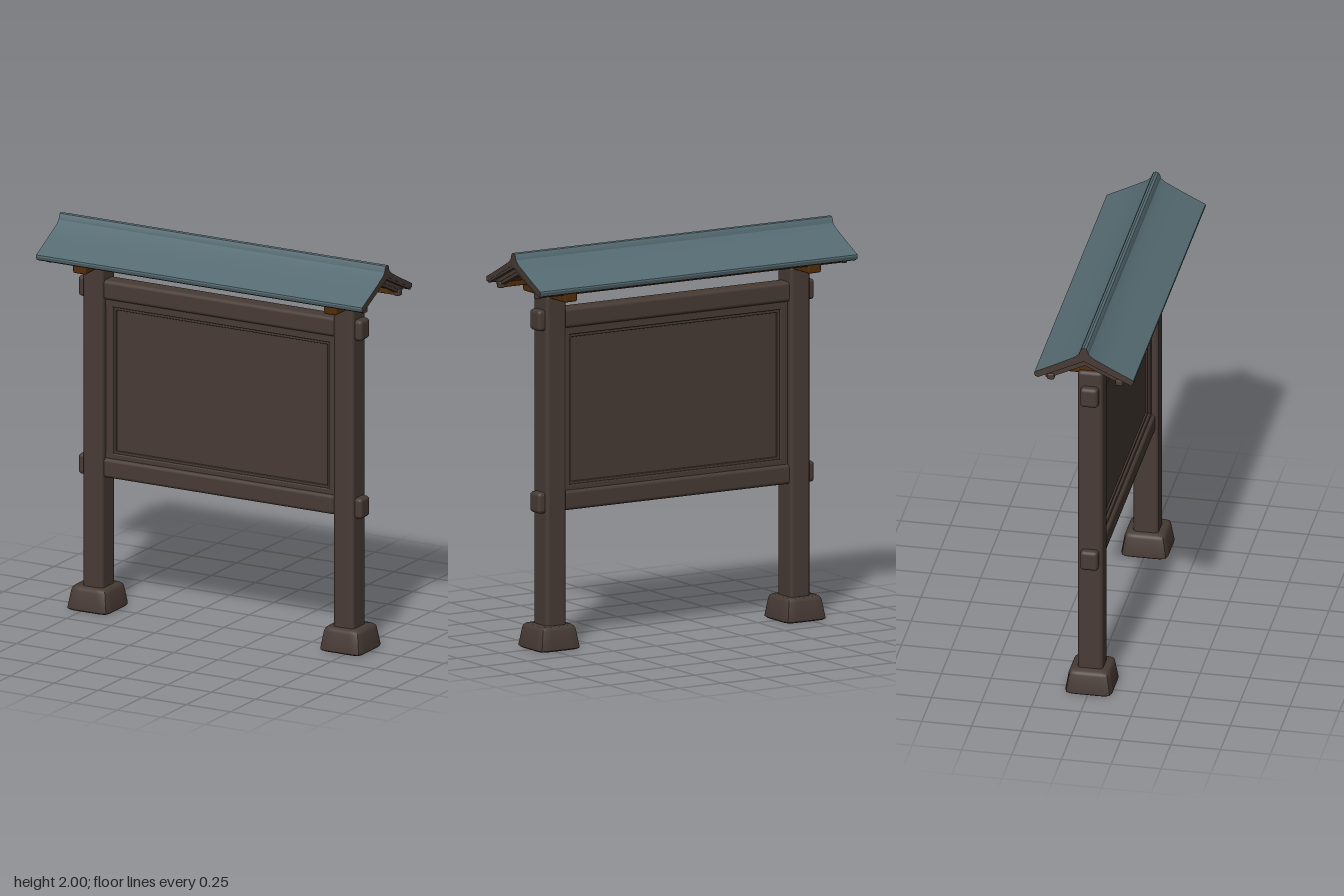
import * as THREE from 'three';
import { toCreasedNormals } from 'three/addons/utils/BufferGeometryUtils.js';
import { RoundedBoxGeometry } from 'three/addons/geometries/RoundedBoxGeometry.js';

const paint = (name, color) => Object.assign(new THREE.MeshStandardMaterial({ color }), { name });

export function createModel() {
  const model = new THREE.Group();
  model.name = 'noticeBoard';
  const wood = paint('dark wood', 0x483b35);
  const tile = paint('slate blue roof', 0x546a71);
  const amber = paint('amber wood', 0x542e0a);

  function add(name, geometry, material, x = 0, y = 0, z = 0) {
    const mesh = new THREE.Mesh(geometry, material);
    mesh.name = name;
    mesh.position.set(x, y, z);
    model.add(mesh);
    return mesh;
  }
  const beam = (name, w, h, d, r, material, x, y, z) =>
    add(name, new RoundedBoxGeometry(w, h, d, 2, r), material, x, y, z);

  // Extrudes a symmetric chevron along x; half runs from the ridge to the eave and back under the ridge
  function gable(name, half, length, material, x = 0) {
    const mirrored = half.slice(1, -1).map(([z, y]) => [-z, y]).reverse();
    const shape = new THREE.Shape([...half, ...mirrored].map(([z, y]) => new THREE.Vector2(z, y)));
    const g = new THREE.ExtrudeGeometry(shape, { depth: length, bevelEnabled: false });
    g.translate(0, 0, -length / 2).rotateY(Math.PI / 2);
    return add(name, toCreasedNormals(g, 0.5), material, x);
  }

  // Hollow, tapered foot: a lathe squared off by a superellipse rule
  function footGeometry() {
    const profile = [[0, 0.07], [0.07, 0.07], [0.103, 0.004], [0.11, 0], [0.117, 0.006], [0.117, 0.016],
      [0.103, 0.1], [0.098, 0.112], [0.088, 0.12], [0, 0.12]];
    const g = new THREE.LatheGeometry(profile.map(p => new THREE.Vector2(...p)), 40);
    const pos = g.attributes.position;
    for (let i = 0; i < pos.count; i++) {
      const x = pos.getX(i), z = pos.getZ(i), r = Math.hypot(x, z);
      if (r < 1e-6) continue;
      const k = 1 / Math.pow(Math.abs(x / r) ** 9 + Math.abs(z / r) ** 9, 1 / 9);
      pos.setX(i, x * k);
      pos.setZ(i, z * k);
    }
    return toCreasedNormals(g, 0.7);
  }

  // Posts, feet and the cross beams that carry the roof
  const foot = footGeometry();
  for (const s of [-1, 1]) {
    const side = s > 0 ? 'left' : 'right';
    add(side + 'Foot', foot, wood, s * 0.717);
    beam(side + 'Post', 0.115, 1.69, 0.126, 0.018, wood, s * 0.711, 0.935, 0);
    beam(side + 'CrossBeam', 0.075, 0.07, 0.39, 0.01, amber, s * 0.711, 1.797, 0);
    gable(side + 'GableInfill', [[0, 1.91], [0.18, 1.825], [0.18, 1.81], [0, 1.81]], 0.07, amber, s * 0.711);
    // Through-tenon ends of the rails
    for (const y of [1.65, 0.735]) {
      beam(side + 'RailEnd', 0.12, 0.105, 0.09, 0.018, wood, s * 0.745, y, 0);
    }
  }

  // Rails
  beam('topRail', 1.4, 0.1, 0.095, 0.018, wood, 0, 1.65, 0);
  beam('bottomRail', 1.4, 0.1, 0.095, 0.018, wood, 0, 0.735, 0);

  // Board with a raised frame on both faces
  add('board', new THREE.BoxGeometry(1.32, 0.88, 0.024), wood, 0, 1.19, 0);
  for (const y of [1.585, 0.789]) beam('frameRail', 1.32, 0.044, 0.062, 0.006, wood, 0, y, 0);
  for (const x of [-0.635, 0.635]) beam('frameStile', 0.044, 0.84, 0.062, 0.006, wood, x, 1.187, 0);
  for (const y of [1.556, 0.816]) beam('innerMouldingRail', 1.23, 0.016, 0.042, 0.004, wood, 0, y, 0);
  for (const x of [-0.607, 0.607]) beam('innerMouldingStile', 0.016, 0.75, 0.042, 0.004, wood, x, 1.187, 0);

  // Roof: coloured skin with wooden ends, over a wooden body
  gable('roofTiles', [[0, 2], [0.012, 1.996], [0.019, 1.985], [0.024, 1.966], [0.045, 1.947],
    [0.14, 1.897], [0.248, 1.843], [0.25, 1.836], [0.245, 1.82], [0.237, 1.822], [0, 1.94]], 1.85, [wood, tile]);
  gable('roofBody', [[0, 1.947], [0.239, 1.828], [0.24, 1.818], [0.234, 1.813], [0, 1.925]], 1.846, wood);

  // Inner boards, barge boards at the ends, and the amber ceiling
  gable('innerRoofBoards', [[0, 1.93], [0.2, 1.834], [0.2, 1.818], [0.188, 1.815], [0, 1.905]], 1.8, wood);
  gable('ceiling', [[0, 1.91], [0.19, 1.82], [0.184, 1.811], [0, 1.898]], 1.74, amber);
  for (const s of [-1, 1]) {
    gable('bargeBoard', [[0, 1.922], [0.198, 1.826], [0.198, 1.806], [0.182, 1.802], [0, 1.888]], 0.03, wood, s * 0.882);
    // Eave purlins with wooden ends
    beam('eavePurlin', 1.78, 0.026, 0.03, 0.006, amber, 0, 1.81, s * 0.172);
    for (const x of [-0.89, 0.89]) beam('eavePurlinEnd', 0.03, 0.034, 0.036, 0.008, wood, x, 1.811, s * 0.172);
  }
  beam('ridgeBeam', 1.74, 0.04, 0.05, 0.008, amber, 0, 1.888, 0);

  return model;
}
